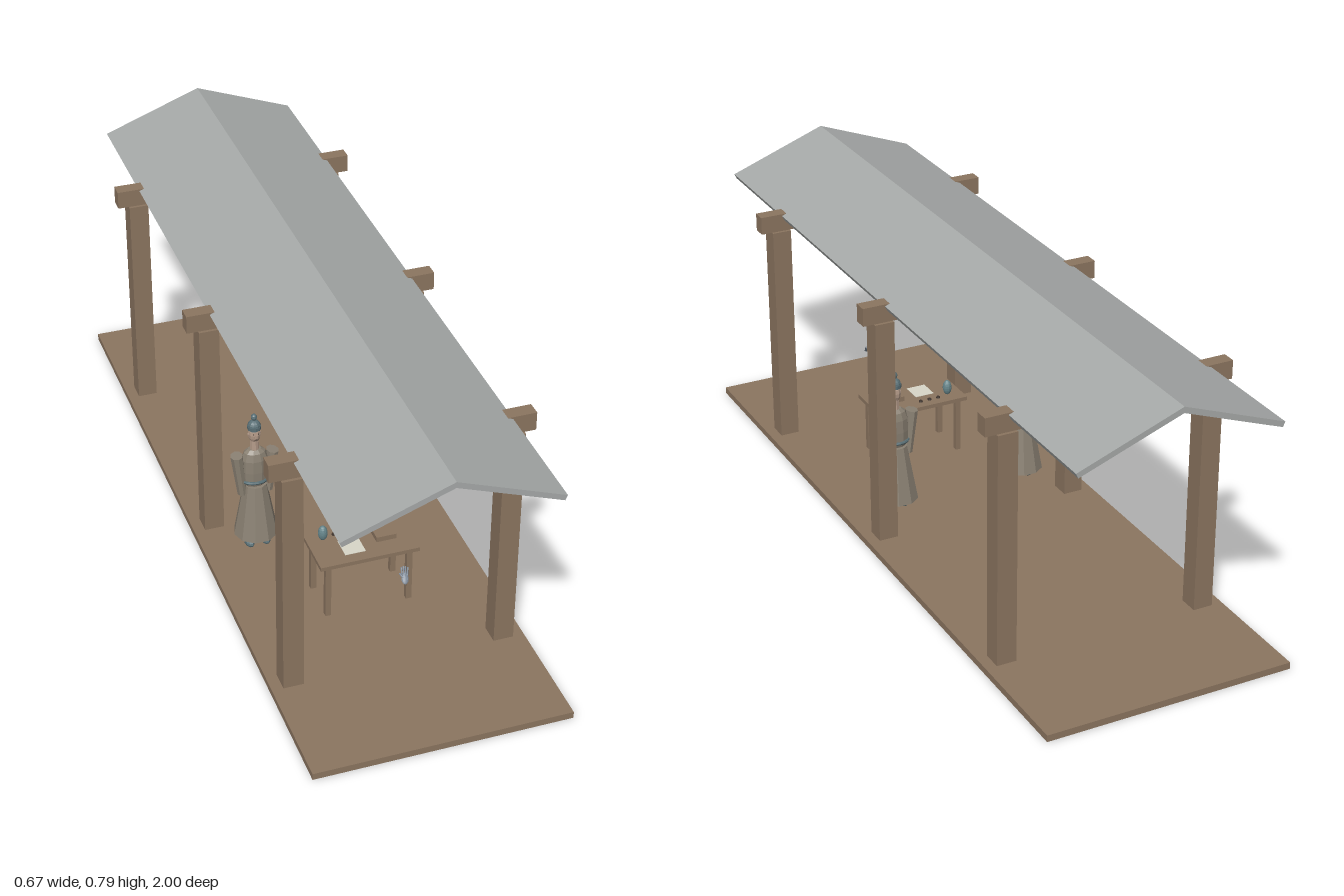
import * as THREE from 'three';

const mat = (color) => new THREE.MeshStandardMaterial({ color, flatShading: true });
const wood = mat(0x8b7560), roofGrey = mat(0xa6a9a8), robe = mat(0x8a8173), teal = mat(0x5a7076);
const skin = mat(0xb39a88), dark = mat(0x40362f), paper = mat(0xd8d6c8), jade = mat(0x66858a), handBlue = mat(0x7c8794);

function add(parent, name, geometry, material, x = 0, y = 0, z = 0) {
  const mesh = new THREE.Mesh(geometry, material);
  mesh.name = name;
  mesh.position.set(x, y, z);
  parent.add(mesh);
  return mesh;
}
const box = (w, h, d) => new THREE.BoxGeometry(w, h, d);
const ball = (rx, ry, rz, w = 10, h = 8) => new THREE.SphereGeometry(1, w, h).scale(rx, ry, rz);
const group = (parent, name) => {
  const g = new THREE.Group();
  g.name = name;
  parent.add(g);
  return g;
};

function buildPavilion(parent) {
  const g = group(parent, 'pavilion');
  add(g, 'floor', box(0.666, 0.018, 2), wood, 0, 0.009, 0);
  for (const z of [-0.667, 0, 0.667]) {
    add(g, 'crossBeam', box(0.666, 0.049, 0.037), wood, 0, 0.6665, z);
    for (const s of [-1, 1]) add(g, 'column', box(0.053, 0.624, 0.053), wood, s * 0.277, 0.33, z);
  }
  // Gabled roof as one bent slab
  const outline = [[0, 0.787], [-0.272, 0.686], [-0.266, 0.673], [0, 0.771], [0.266, 0.673], [0.272, 0.686]];
  const shape = new THREE.Shape(outline.map(([x, y]) => new THREE.Vector2(x, y)));
  add(g, 'roof', new THREE.ExtrudeGeometry(shape, { depth: 2, bevelEnabled: false }), roofGrey, 0, 0, -1);
}

function buildTable(parent) {
  const g = group(parent, 'table');
  g.position.z = 0.402;
  add(g, 'tableTop', box(0.265, 0.011, 0.15), wood, 0, 0.1785, 0);
  for (const x of [-0.109, 0.109])
    for (const z of [-0.058, 0.058]) add(g, 'tableLeg', box(0.015, 0.155, 0.015), wood, x, 0.0955, z);
  // Things laid out on the table
  add(g, 'woodenCase', box(0.053, 0.014, 0.04), wood, 0.062, 0.191, 0);
  add(g, 'paperSheet', box(0.055, 0.001, 0.06), paper, -0.03, 0.1845, 0.015);
  add(g, 'eggJar', ball(0.0125, 0.0215, 0.0125, 12, 10), jade, -0.09, 0.205, -0.035);
  for (const x of [-0.057, -0.03, -0.003])
    add(g, 'smallPiece', new THREE.CylinderGeometry(0.005, 0.006, 0.004, 8), dark, x, 0.186, -0.045);
}

function buildFigure(parent, x) {
  const g = group(parent, 'robedFigure');
  g.position.set(x, 0, 0.113);

  for (const s of [-1, 1]) {
    add(g, 'shoe', ball(0.0135, 0.0125, 0.026), teal, s * 0.022, 0.0305, 0.01);
    add(g, 'leg', new THREE.CylinderGeometry(0.011, 0.012, 0.05, 8), teal, s * 0.022, 0.06, 0);
    // Wide sleeves lean in towards the hem
    const sleeve = new THREE.CylinderGeometry(0.0165, 0.0125, 0.122, 8, 1).scale(1, 1, 1.2);
    add(g, 'sleeve', sleeve, robe, s * 0.042, 0.245, 0).rotation.z = -s * 0.11;
    add(g, 'cuffHand', ball(0.007, 0.009, 0.007, 8, 6), skin, s * 0.035, 0.184, 0);
    add(g, 'eye', ball(0.0022, 0.0016, 0.0015, 6, 4), dark, s * 0.0065, 0.372, 0.0155);
    add(g, 'ear', ball(0.002, 0.005, 0.003, 6, 4), skin, s * 0.0165, 0.366, 0);
  }

  // Robe: ten-sided skirt and a flattened torso
  const skirt = new THREE.CylinderGeometry(0.031, 0.0594, 0.157, 10).rotateY(Math.PI / 10);
  add(g, 'skirt', skirt, robe, 0, 0.1325, 0);
  const torso = [[0, 0.205], [0.028, 0.209], [0.036, 0.226], [0.0375, 0.255], [0.036, 0.29], [0.029, 0.311], [0.018, 0.32], [0, 0.321]];
  const profile = torso.map(([r, y]) => new THREE.Vector2(r, y));
  add(g, 'torso', new THREE.LatheGeometry(profile, 10, Math.PI / 10).scale(1, 1, 0.72), robe);
  add(g, 'belt', new THREE.TorusGeometry(0.036, 0.0045, 6, 16).rotateX(Math.PI / 2).scale(1, 1, 0.77), teal, 0, 0.226, 0);

  // Head and capped topknot
  add(g, 'neck', new THREE.CylinderGeometry(0.0115, 0.0125, 0.034, 8), skin, 0, 0.331, 0);
  add(g, 'head', ball(0.0168, 0.027, 0.0175), skin, 0, 0.367, 0);
  add(g, 'nose', new THREE.ConeGeometry(0.0028, 0.012, 4), skin, 0, 0.367, 0.018);
  add(g, 'mouth', box(0.007, 0.0015, 0.002), dark, 0, 0.355, 0.0155);
  add(g, 'capBand', new THREE.CylinderGeometry(0.0182, 0.0178, 0.01, 10), teal, 0, 0.386, 0);
  const dome = new THREE.SphereGeometry(0.0175, 10, 5, 0, Math.PI * 2, 0, Math.PI / 2);
  add(g, 'cap', dome, teal, 0, 0.39, 0);
  add(g, 'capKnob', ball(0.0085, 0.0095, 0.0085, 8, 6), teal, 0, 0.4165, 0);
}

function buildHand(parent) {
  // Open hand leaning back, held above the front of the table
  const g = group(parent, 'floatingHand');
  g.position.set(0.031, 0.238, 0.632);
  g.rotation.set(-0.8, 0, -0.2);
  add(g, 'palm', ball(0.0095, 0.015, 0.0035, 8, 6), handBlue, 0, -0.008, 0);
  for (let i = 0; i < 4; i++) {
    const x = -0.0075 + i * 0.005;
    const finger = new THREE.CapsuleGeometry(0.0021, 0.018, 2, 6);
    add(g, 'finger', finger, handBlue, x, 0.013 - Math.abs(i - 1.5) * 0.002, 0).rotation.z = -x * 12;
  }
  add(g, 'thumb', new THREE.CapsuleGeometry(0.0023, 0.012, 2, 6), handBlue, -0.0095, -0.001, 0.001).rotation.z = 0.6;
}

export function createModel() {
  const model = new THREE.Group();
  model.name = 'pavilionScene';
  buildPavilion(model);
  buildTable(model);
  for (const x of [-0.189, 0.189]) buildFigure(model, x);
  buildHand(model);
  return model;
}
